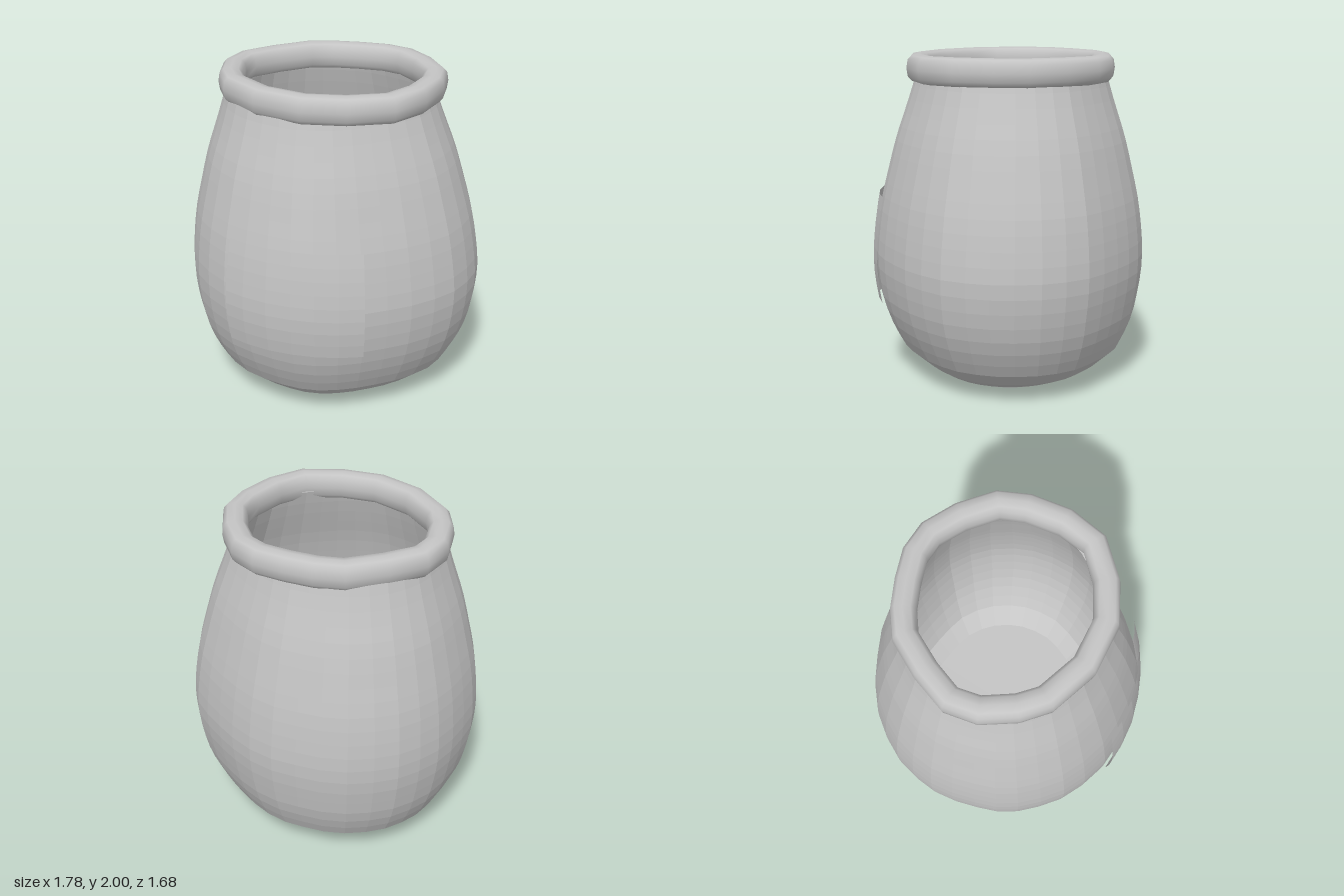
import * as THREE from 'three';

// widest horizontal section of the pot, x and z pairs, from the back round the left side
const SECTION = [
  -0.02, -0.84, 0.14, -0.82, 0.29, -0.77, 0.42, -0.71, 0.55, -0.64, 0.67, -0.56,
  0.77, -0.44, 0.84, -0.31, 0.88, -0.16, 0.89, -0.02, 0.87, 0.12, 0.82, 0.27,
  0.73, 0.40, 0.62, 0.52, 0.50, 0.615, 0.38, 0.70, 0.25, 0.77, 0.12, 0.815,
  -0.02, 0.83, -0.17, 0.81, -0.32, 0.77, -0.47, 0.71, -0.61, 0.61, -0.72, 0.50,
  -0.80, 0.37, -0.86, 0.24, -0.89, 0.11, -0.89, -0.03, -0.88, -0.17, -0.85, -0.31,
  -0.79, -0.44, -0.71, -0.56, -0.60, -0.66, -0.47, -0.745, -0.32, -0.80, -0.17, -0.825];
// centre line of the rolled rim
const RIM = [
  -0.01, -0.575, 0.16, -0.575, 0.305, -0.522, 0.448, -0.378, 0.565, -0.188, 0.58, -0.015,
  0.537, 0.21, 0.433, 0.398, 0.215, 0.505, -0.02, 0.545, -0.288, 0.475, -0.515, 0.308,
  -0.595, 0.17, -0.648, -0.025, -0.625, -0.19, -0.492, -0.355, -0.325, -0.51, -0.178, -0.558];
// front panel curve at the widest height
const LABEL = [0.395, 0.735, 0.26, 0.79, 0.12, 0.822, -0.02, 0.832, -0.17, 0.824, -0.32, 0.79, -0.44, 0.745];
// scale of the section and height, from above the base to the neck
const PROFILE = [[0.82, 0.18], [0.893, 0.3], [0.947, 0.43], [0.986, 0.6], [1, 0.75], [0.99, 0.9],
  [0.958, 1.1], [0.904, 1.3], [0.843, 1.5], [0.764, 1.7], [0.713, 1.84], [0.698, 1.89]];

const pairs = (list) => Array.from({ length: list.length / 2 }, (_, i) => new THREE.Vector2(list[2 * i], list[2 * i + 1]));
const section = pairs(SECTION);
const oval = section.map((p) => p.clone().normalize().multiply(new THREE.Vector2(0.89, 0.835)));

// a section scaled and shifted for one height; the pot leans a little
function ring(scale, y, points = section) {
  const lean = Math.max(0, (y - 0.75) / 1.1), foot = Math.max(0, 1 - y / 0.5);
  const dx = -0.035 * lean - 0.015 * foot, dz = -0.012 * lean - 0.022 * foot;
  return points.map((p) => new THREE.Vector3(p.x * scale + dx, y, p.y * scale + dz));
}

// surface through rows of points
function skin(rows, { closeCols = true, closeRows = false, flat = true } = {}) {
  const n = rows[0].length, m = rows.length, index = [];
  for (let r = 0; r < (closeRows ? m : m - 1); r++) {
    for (let c = 0; c < (closeCols ? n : n - 1); c++) {
      const r2 = (r + 1) % m, c2 = (c + 1) % n;
      const a = r * n + c, b = r * n + c2, d = r2 * n + c, e = r2 * n + c2;
      index.push(a, d, b, b, d, e);
    }
  }
  let geometry = new THREE.BufferGeometry().setFromPoints(rows.flat());
  geometry.setIndex(index);
  if (flat) geometry = geometry.toNonIndexed();
  geometry.computeVertexNormals();
  return geometry;
}

export function createModel() {
  const group = new THREE.Group();
  const clay = new THREE.MeshStandardMaterial({ color: 0xc4c4c4, side: THREE.DoubleSide });
  clay.name = 'grey clay';
  const add = (name, geometry) => {
    const mesh = new THREE.Mesh(geometry, clay);
    mesh.name = name;
    group.add(mesh);
  };

  // body: outer wall up to the neck, then the inner wall down to the floor
  const wall = new THREE.SplineCurve(PROFILE.map(([s, y]) => new THREE.Vector2(s, y))).getSpacedPoints(20);
  add('body', skin([
    ring(0.45, 0.022, oval), ring(0.525, 0.022, oval), ring(0.694, 0.09),
    ...wall.map((p) => ring(p.x, p.y)),
    ...wall.slice().reverse().map((p) => ring(p.x - 0.03, p.y)),
    ring(0.66, 0.1), ring(0, 0.08),
  ]));

  // base: low foot disc under the body
  add('base', skin([ring(0, 0, oval), ring(0.462, 0, oval), ring(0.475, 0.022, oval)]));

  // label: thin curved panel standing just off the front wall
  const scaleAt = (y) => {
    const i = wall.findIndex((p) => p.y >= y), a = wall[i - 1], b = wall[i];
    return THREE.MathUtils.lerp(a.x, b.x, (y - a.y) / (b.y - a.y));
  };
  const labelRows = [];
  for (let i = 0; i <= 8; i++) {
    const y = 0.5 + i * 0.0815, s = scaleAt(y) + 0.01;
    labelRows.push(pairs(LABEL).map((p) => new THREE.Vector3(p.x * s, y, p.y * s)));
  }
  add('label', skin(labelRows, { closeCols: false }));

  // rim: fat roll with a slightly squared section following the uneven mouth
  const path = pairs(RIM), count = path.length, sides = 12;
  const squared = (v) => Math.sign(v) * Math.abs(v) ** 0.75;
  const rimRows = [];
  for (let k = 0; k < sides; k++) {
    const angle = (k / sides) * Math.PI * 2;
    const out = squared(Math.cos(angle)) * 0.076, up = squared(Math.sin(angle)) * 0.084;
    rimRows.push(path.map((p, i) => {
      const t = path[(i + 1) % count].clone().sub(path[(i + count - 1) % count]).normalize();
      return new THREE.Vector3(p.x + t.y * out, 1.916 + up, p.y - t.x * out);
    }));
  }
  add('rim', skin(rimRows, { closeRows: true, flat: false }));

  return group;
}
